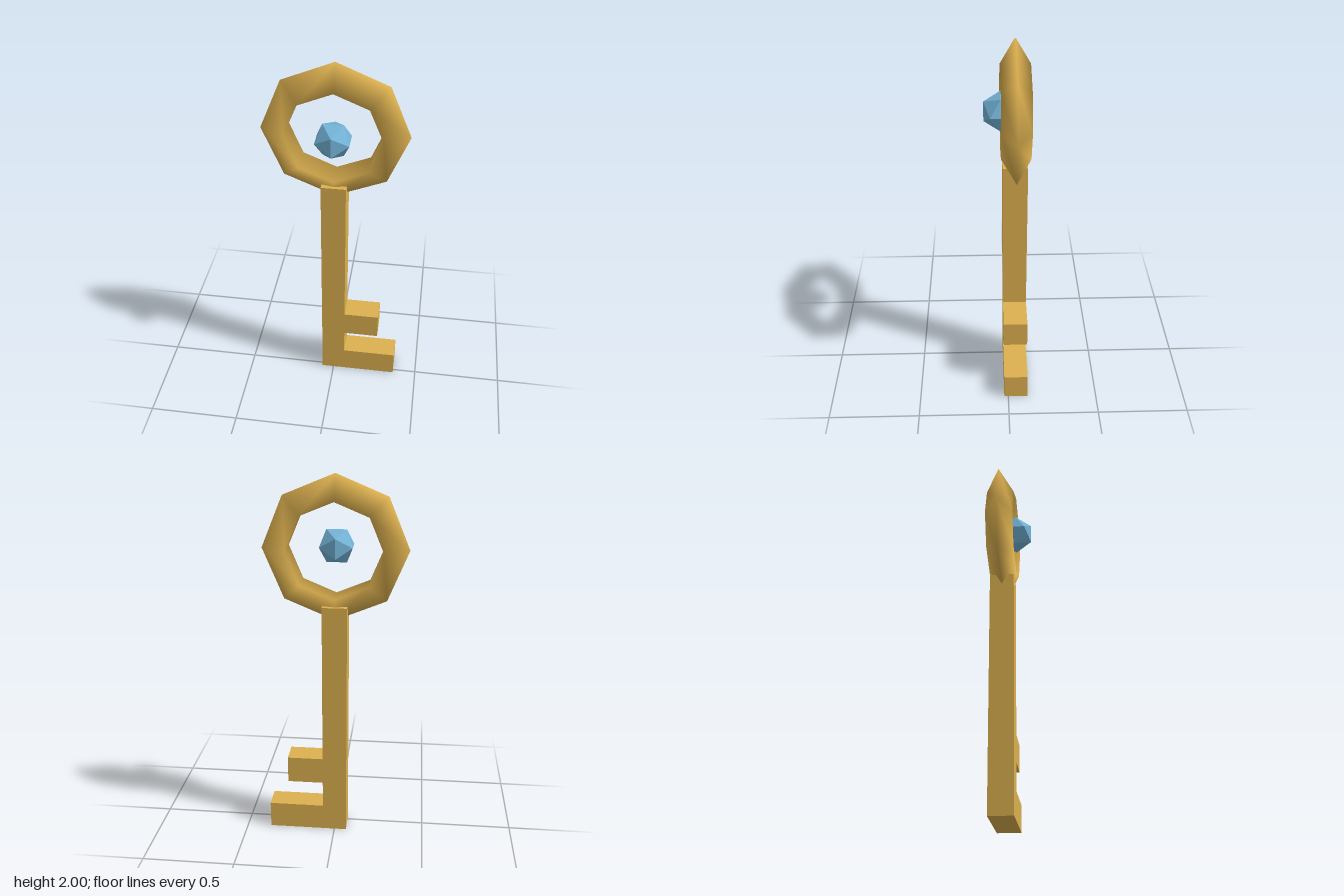
import * as THREE from 'three';

const gold = new THREE.MeshStandardMaterial({ name: 'gold', color: 0xdcb04f });
const blue = new THREE.MeshStandardMaterial({ name: 'gemBlue', color: 0x74b4d8 });

const KEY_Z = -0.043; // mid-plane of the shaft and ring
const BOW_Y = 1.62; // centre of the ring

function addPart(group, name, geometry, material, y, z) {
  const mesh = new THREE.Mesh(geometry, material);
  mesh.name = name;
  mesh.position.set(0, y, z);
  group.add(mesh);
}

export function createModel() {
  const group = new THREE.Group();
  group.name = 'key';

  // Shaft with two teeth, one continuous outline
  const outline = [
    [-0.067, 0], [0.366, 0], [0.366, 0.148], [0.065, 0.148],
    [0.065, 0.297], [0.26, 0.297], [0.26, 0.446], [0.065, 0.446],
    [0.065, 1.325], [-0.067, 1.325],
  ].map(([x, y]) => new THREE.Vector2(x, y));
  const depth = 0.132;
  const shaft = new THREE.ExtrudeGeometry(new THREE.Shape(outline), { depth, bevelEnabled: false });
  addPart(group, 'shaftAndTeeth', shaft, gold, 0, KEY_Z - depth / 2);

  // Eight-sided ring with a triangular section, smooth shaded
  addPart(group, 'ring', new THREE.TorusGeometry(0.2935, 0.0867, 3, 8), gold, BOW_Y, KEY_Z);

  // Faceted gem floating in the ring
  addPart(group, 'gem', new THREE.IcosahedronGeometry(0.102, 0), blue, BOW_Y, 0.03);

  return group;
}
